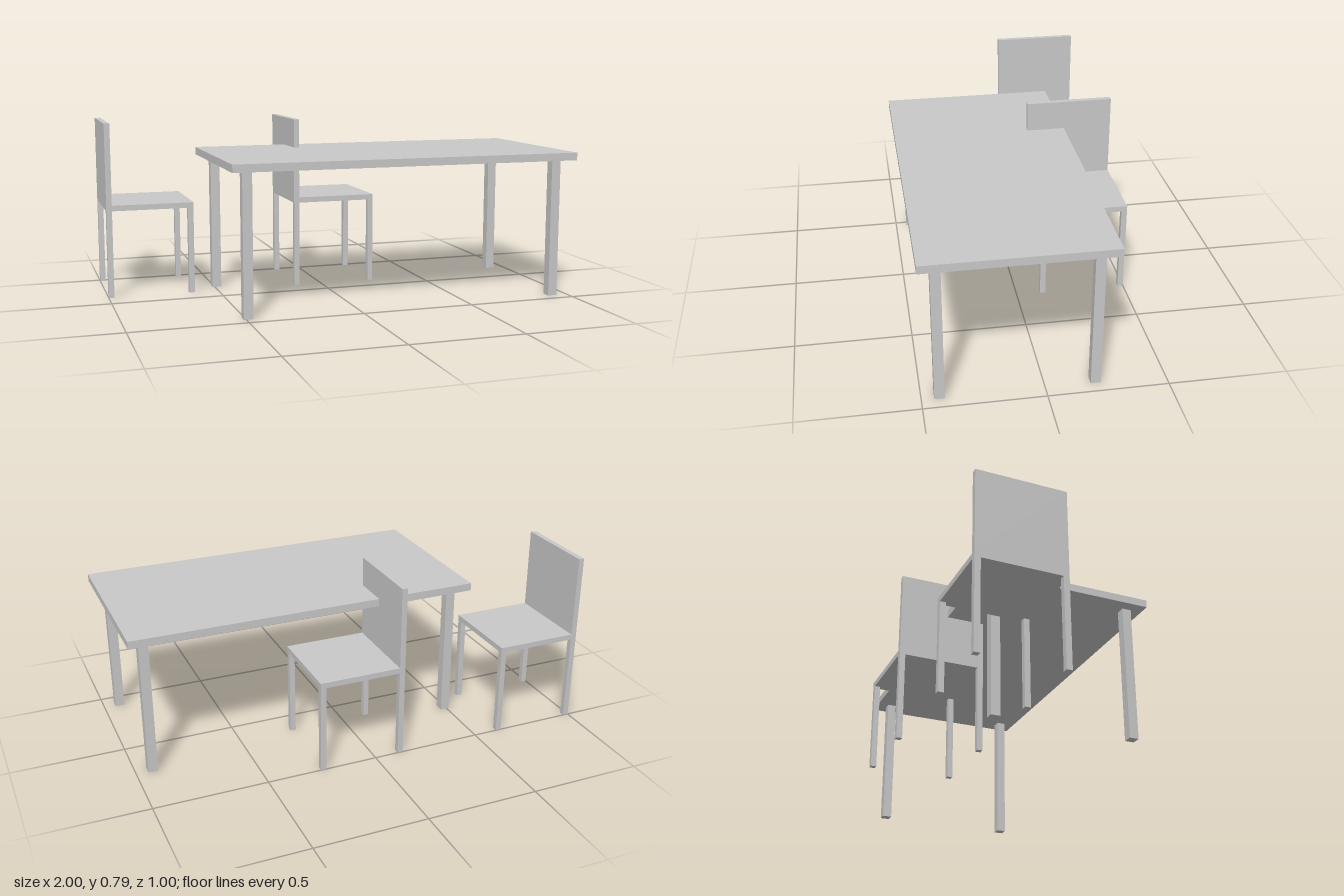
import * as THREE from 'three';

const grey = new THREE.MeshStandardMaterial({ color: 0xc8c8c8 });
grey.name = 'plain grey';

// Box given by its minimum and maximum corners
function box(name, [x0, y0, z0], [x1, y1, z1]) {
  const mesh = new THREE.Mesh(new THREE.BoxGeometry(x1 - x0, y1 - y0, z1 - z0), grey);
  mesh.position.set((x0 + x1) / 2, (y0 + y1) / 2, (z0 + z1) / 2);
  mesh.name = name;
  return mesh;
}

// Four square legs, set in from the edges of a w by d rectangle
function addLegs(group, name, w, d, h, size, inset) {
  for (const x of [inset, w - inset - size])
    for (const z of [inset, d - inset - size])
      group.add(box(name, [x, 0, z], [x + size, h, z + size]));
}

function makeTable() {
  const table = new THREE.Group();
  table.name = 'table';
  const w = 1.563, d = 0.781, under = 0.62;
  table.add(box('tableTop', [0, under, 0], [w, 0.654, d]));
  addLegs(table, 'tableLeg', w, d, under, 0.042, 0.052);
  return table;
}

function makeChair() {
  const chair = new THREE.Group();
  chair.name = 'chair';
  const s = 0.391, under = 0.394, seat = 0.419, t = 0.025;
  chair.add(box('seat', [0, under, 0], [s, seat, s]));
  chair.add(box('backrest', [0, seat, 0], [t, 0.785, s]));
  addLegs(chair, 'chairLeg', s, s, under, t, 0);
  return chair;
}

export function createModel() {
  const model = new THREE.Group();
  model.name = 'diningSet';

  const table = makeTable();
  table.position.set(-0.563, 0, -0.281);
  model.add(table);

  // One chair stands beside the table, the other is pushed partly under it
  for (const x of [-1, -0.132]) {
    const chair = makeChair();
    chair.position.set(x, 0, -0.5);
    model.add(chair);
  }
  return model;
}
